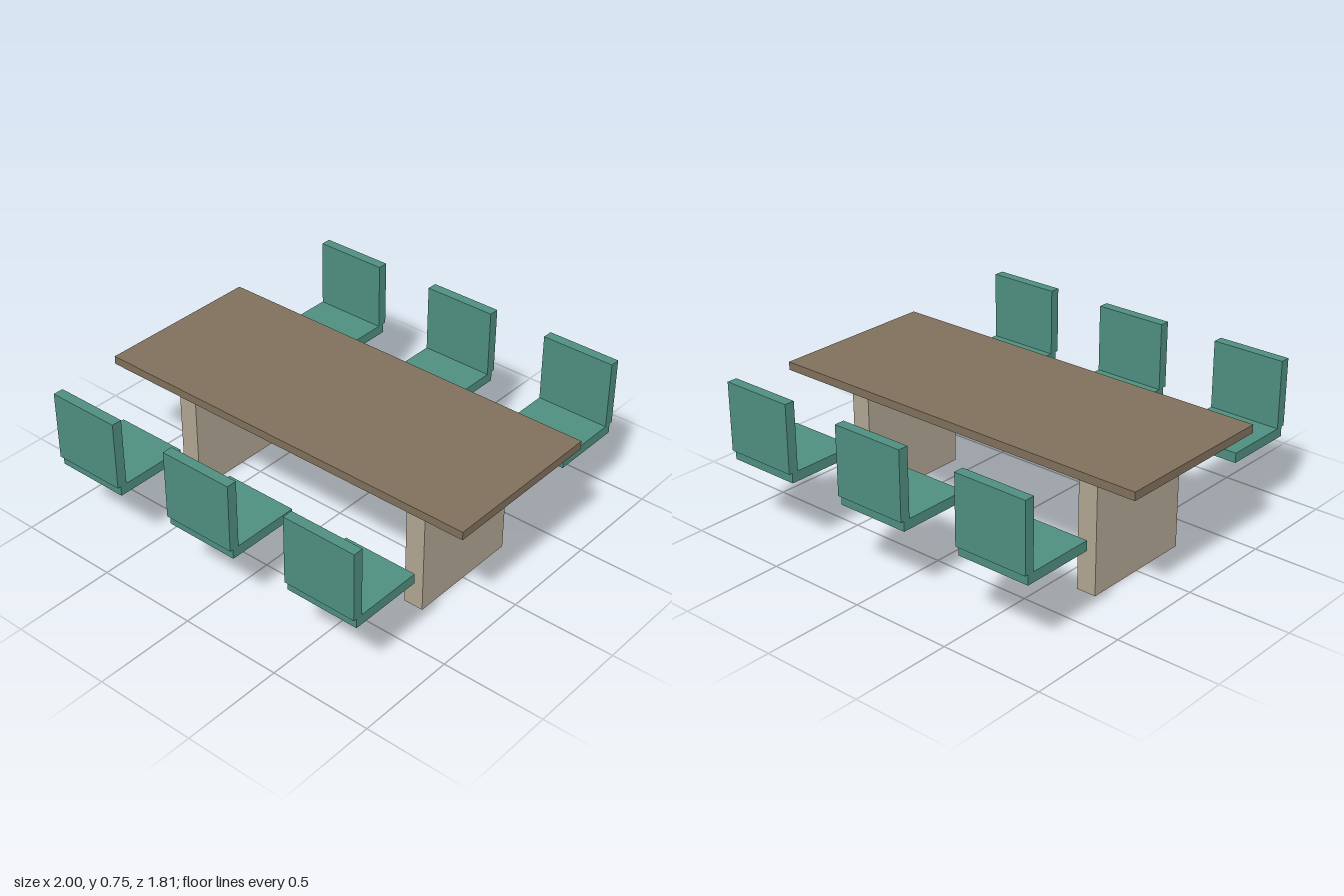
import * as THREE from 'three';

function makeMaterial(name, color) {
  const material = new THREE.MeshStandardMaterial({ color });
  material.name = name;
  return material;
}

// Box given by its centre in x and its extents in y and z
function slab(name, material, width, x, [y0, y1], [z0, z1]) {
  const mesh = new THREE.Mesh(new THREE.BoxGeometry(width, y1 - y0, z1 - z0), material);
  mesh.name = name;
  mesh.position.set(x, (y0 + y1) / 2, (z0 + z1) / 2);
  return mesh;
}

export function createModel() {
  const wood = makeMaterial('brown wood', 0x80705c);
  const stone = makeMaterial('beige', 0xb0a592);
  const teal = makeMaterial('teal', 0x4f8f80);

  const model = new THREE.Group();
  model.name = 'diningSet';

  // Table: top on two slab legs
  const table = new THREE.Group();
  table.name = 'table';
  table.add(slab('tableTop', wood, 2, 0, [0.603, 0.643], [-0.415, 0.415]));
  for (const side of [-1, 1]) {
    table.add(slab(side > 0 ? 'leftLeg' : 'rightLeg', stone, 0.098, side * 0.666, [0, 0.603], [-0.29, 0.29]));
  }
  model.add(table);

  // Three floating chairs along each long side, facing the table
  for (const side of [1, -1]) {
    for (const x of [-0.667, 0, 0.667]) {
      const chair = new THREE.Group();
      chair.name = side > 0 ? 'frontChair' : 'backChair';
      chair.add(slab('seat', teal, 0.366, 0, [0.37, 0.418], [0.525, 0.89]));
      chair.add(slab('backrest', teal, 0.366, 0, [0.418, 0.75], [0.857, 0.907]));
      chair.position.x = x;
      if (side < 0) chair.rotation.y = Math.PI;
      model.add(chair);
    }
  }
  return model;
}
